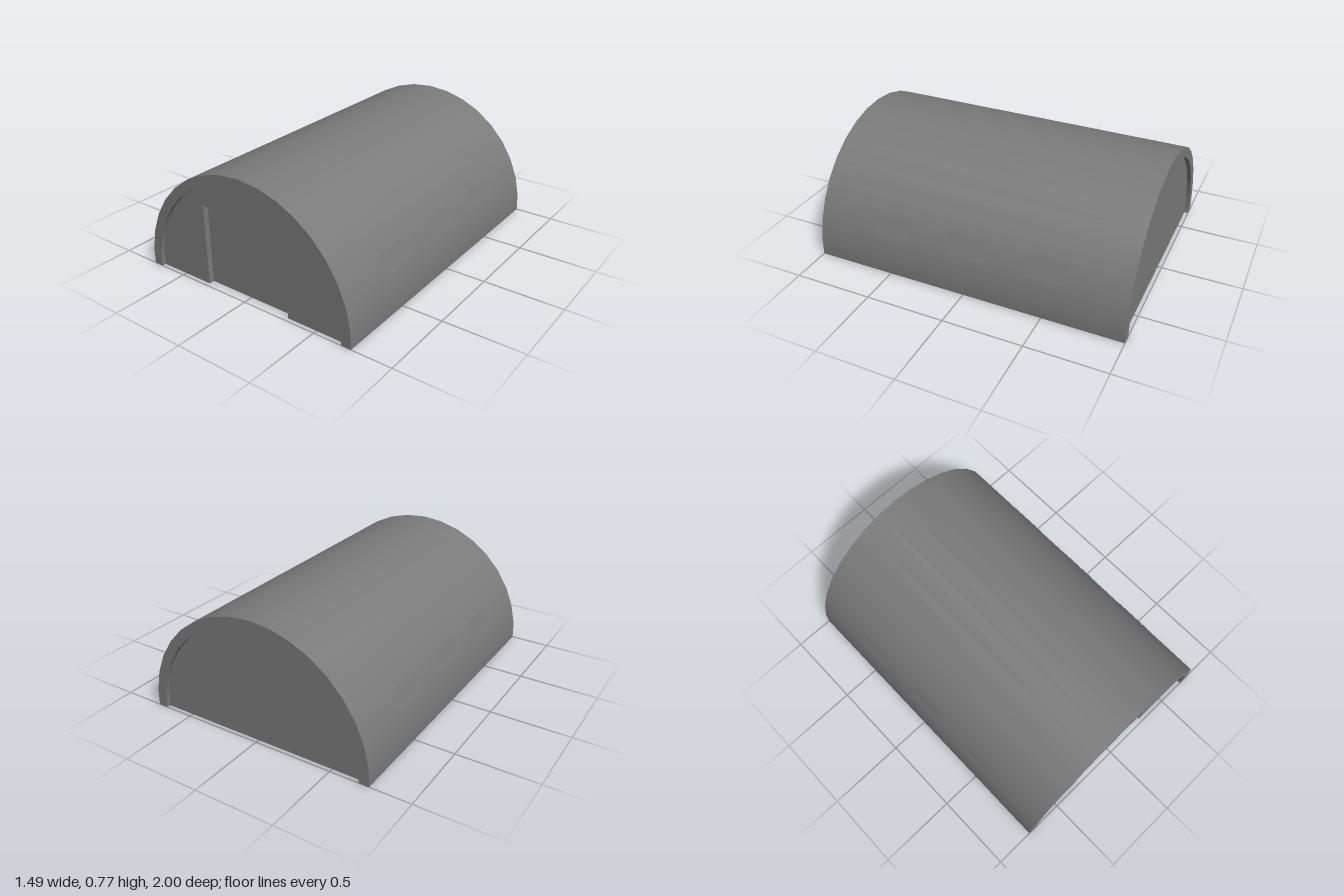
import * as THREE from 'three';

const R = 0.749, INNER = 0.686, CY = 0.02;  // arch radii and height of their centre
const HALF = 1, RECESS = 0.025;             // half length, depth of the end walls
const DOOR_W = 0.302, DOOR_H = 0.512, DOOR_D = 0.035;
const STEP = THREE.MathUtils.degToRad(10.42), SIDE = 9;  // facet angle, facets per side

// Points along an arch from the +x foot to the -x foot, cut off at the ground
function archPoints(r) {
  const pts = [];
  for (let i = SIDE; i >= -SIDE; i--) {
    pts.push(new THREE.Vector2(r * Math.sin(i * STEP), Math.max(0, CY + r * Math.cos(i * STEP))));
  }
  return pts;
}

// Open vault running along z, its feet cut off at the ground
function vault(r, length, z) {
  const a = SIDE * STEP;
  const geometry = new THREE.CylinderGeometry(r, r, length, 2 * SIDE, 1, true, Math.PI - a, 2 * a)
    .rotateX(Math.PI / 2).translate(0, CY, z);
  const pos = geometry.attributes.position;
  for (let i = 0; i < pos.count; i++) pos.setY(i, Math.max(0, pos.getY(i)));
  return geometry;
}

export function createModel() {
  const group = new THREE.Group();
  const grey = new THREE.MeshStandardMaterial({ color: 0x7a7a7a, side: THREE.DoubleSide });
  grey.name = 'grey';

  const add = (name, geometry, parent = group) => {
    const mesh = new THREE.Mesh(geometry, grey);
    mesh.name = name;
    parent.add(mesh);
    return mesh;
  };

  // Curved roof skin, open underneath
  add('roofShell', vault(R, 2 * HALF, 0));

  // Two ends: flat rim, curved reveal and recessed wall
  const rim = new THREE.Shape([...archPoints(R), ...archPoints(INNER).reverse()]);
  const wall = new THREE.Shape(archPoints(INNER));
  const doorWall = new THREE.Shape([
    ...archPoints(INNER),
    new THREE.Vector2(-DOOR_W, 0), new THREE.Vector2(-DOOR_W, DOOR_H),
    new THREE.Vector2(DOOR_W, DOOR_H), new THREE.Vector2(DOOR_W, 0),
  ]);
  for (const [name, turn, shape] of [['front', 0, doorWall], ['back', Math.PI, wall]]) {
    const end = new THREE.Group();
    end.name = name + 'End';
    end.rotation.y = turn;
    add(name + 'Rim', new THREE.ShapeGeometry(rim).translate(0, 0, HALF), end);
    add(name + 'Reveal', vault(INNER, RECESS, HALF - RECESS / 2), end);
    add(name + 'Wall', new THREE.ShapeGeometry(shape).translate(0, 0, HALF - RECESS), end);
    group.add(end);
  }

  // Recessed door with jambs and lintel
  const wallZ = HALF - RECESS;
  add('door', new THREE.PlaneGeometry(2 * DOOR_W, DOOR_H).translate(0, DOOR_H / 2, wallZ - DOOR_D));
  add('doorLintel', new THREE.PlaneGeometry(2 * DOOR_W, DOOR_D)
    .rotateX(Math.PI / 2).translate(0, DOOR_H, wallZ - DOOR_D / 2));
  for (const s of [-1, 1]) {
    add(s > 0 ? 'leftDoorJamb' : 'rightDoorJamb', new THREE.PlaneGeometry(DOOR_D, DOOR_H)
      .rotateY(-s * Math.PI / 2).translate(s * DOOR_W, DOOR_H / 2, wallZ - DOOR_D / 2));
  }

  // Three window panels on each side, lying flush on one facet of the roof
  const tilt = Math.PI / 2 - 6.5 * STEP;
  const reach = R * Math.cos(STEP / 2) + 0.002;
  for (const s of [-1, 1]) {
    for (const z of [-0.5, 0, 0.5]) {
      const panel = add(s > 0 ? 'leftWindow' : 'rightWindow',
        new THREE.PlaneGeometry(0.25, 0.13).rotateY(s * Math.PI / 2));
      panel.position.set(s * reach * Math.cos(tilt), CY + reach * Math.sin(tilt), z);
      panel.rotation.z = s * tilt;
    }
  }
  return group;
}
